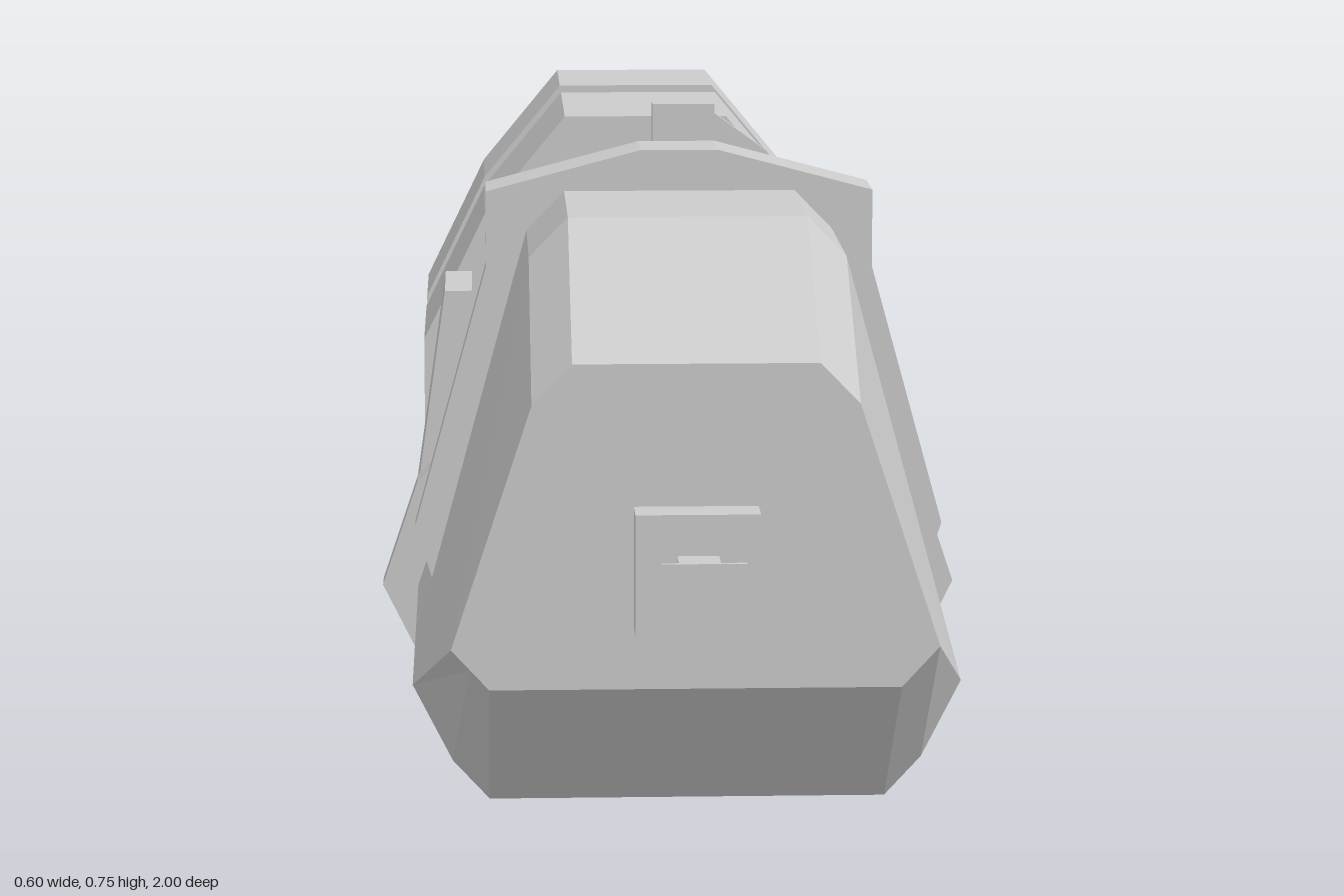
import * as THREE from 'three';

const material = new THREE.MeshStandardMaterial({ color: 0xcccccc, flatShading: true, side: THREE.DoubleSide });

// Mirrors a half outline (bottom to top on +x) into a full counter-clockwise loop
const mirrored = (half) => [...half, ...[...half].reverse().map(([x, y]) => [-x, y])];

export function createModel() {
  const model = new THREE.Group();

  const add = (name, geometry) => {
    const mesh = new THREE.Mesh(geometry, material);
    mesh.name = name;
    model.add(mesh);
    return mesh;
  };

  // Box given by its extents
  const box = (name, x0, x1, y0, y1, z0, z1) =>
    add(name, new THREE.BoxGeometry(x1 - x0, y1 - y0, z1 - z0))
      .position.set((x0 + x1) / 2, (y0 + y1) / 2, (z0 + z1) / 2);

  // Outline in x,y extruded from z0 to z1
  const prism = (name, points, z0, z1) => {
    const shape = new THREE.Shape(points.map(([x, y]) => new THREE.Vector2(x, y)));
    const geometry = new THREE.ExtrudeGeometry(shape, { depth: z1 - z0, bevelEnabled: false });
    geometry.translate(0, 0, z0);
    return add(name, geometry);
  };

  // Skin over convex loops ordered from back to front, with both ends closed
  const loft = (name, sections) => {
    const positions = [];
    const tri = (...corners) => corners.forEach((c) => positions.push(...c));
    const loops = sections.map(({ z, half }) => mirrored(half).map(([x, y]) => [x, y, z]));
    const n = loops[0].length;
    for (let s = 0; s < loops.length - 1; s++) {
      const a = loops[s], b = loops[s + 1];
      for (let i = 0; i < n; i++) {
        const j = (i + 1) % n;
        tri(a[i], a[j], b[j]);
        tri(a[i], b[j], b[i]);
      }
    }
    const back = loops[0], front = loops[loops.length - 1];
    for (let i = 1; i < n - 1; i++) {
      tri(front[0], front[i], front[i + 1]);
      tri(back[0], back[i + 1], back[i]);
    }
    const geometry = new THREE.BufferGeometry();
    geometry.setAttribute('position', new THREE.Float32BufferAttribute(positions, 3));
    geometry.computeVertexNormals();
    add(name, geometry);
  };

  // Thin square bar along a path
  const bar = (name, points, size = 0.012) => {
    for (let i = 0; i < points.length - 1; i++) {
      const a = new THREE.Vector3(...points[i]), b = new THREE.Vector3(...points[i + 1]);
      const mesh = add(name, new THREE.BoxGeometry(size, size, a.distanceTo(b) + size / 2));
      mesh.position.copy(a).lerp(b, 0.5);
      mesh.lookAt(b);
    }
  };

  // Cabin with sloped nose
  const cabin = [[0.19, 0.152], [0.225, 0.19], [0.263, 0.265], [0.15, 0.677], [0.113, 0.715]];
  const nose = [[0.19, 0.302], [0.2075, 0.321], [0.225, 0.34], [0.15, 0.567], [0.113, 0.605]];
  loft('cabin', [{ z: 0.43, half: cabin }, { z: 0.66, half: cabin }, { z: 0.84, half: nose }]);

  // Nose coupling
  box('couplingBase', -0.057, 0.057, 0.36, 0.473, 0.84, 0.88);
  box('couplingStalk', -0.019, 0.019, 0.396, 0.435, 0.88, 0.995);
  box('couplingPlate', -0.038, 0.038, 0.378, 0.453, 0.995, 1);

  // Roof arch and the tapering ribs below it
  prism('roofArch', mirrored([[0.155, 0.64], [0.19, 0.64], [0.19, 0.715], [0.038, 0.755]])
    .concat([[-0.155, 0.64], [-0.15, 0.677], [-0.113, 0.715], [0.113, 0.715], [0.15, 0.677]]), 0.395, 0.47);
  for (const s of [1, -1]) {
    prism('cabinRib', [[0.15, 0.66], [0.19, 0.64], [0.262, 0.38], [0.245, 0.325]]
      .map(([x, y]) => [s * x, y]), 0.43, 0.465);
  }

  // Long hull and its collar
  prism('hull', mirrored([[0.19, 0.152], [0.225, 0.19], [0.263, 0.265], [0.225, 0.375], [0.15, 0.45]]), -0.36, 0.44);
  prism('collar', mirrored([[0.19, 0.115], [0.263, 0.19], [0.3, 0.265], [0.263, 0.375], [0.15, 0.487]]), 0.17, 0.208);

  // Rear drums joined by a neck
  box('neck', -0.15, 0.15, 0.195, 0.415, -0.83, -0.35);
  const drum = [[0.095, 0], [0.19, 0.115], [0.263, 0.265], [0.263, 0.415], [0.19, 0.565], [0.095, 0.68]];
  prism('frontDrum', mirrored(drum), -0.735, -0.475);
  prism('rearDrum', mirrored(drum), -1, -0.815);

  // Side shields leaning with the hull
  for (const [s, back] of [[1, -0.285], [-1, -0.25]]) {
    prism('sideShield', [[0.205, 0.53], [0.235, 0.53], [0.273, 0.265], [0.243, 0.265]]
      .map(([x, y]) => [s * x, y]), back, -0.1);
  }

  // Deck housings
  box('mainHousing', 0, 0.07, 0.455, 0.605, -0.4, -0.1);
  box('sideHousing', -0.075, 0, 0.44, 0.605, -0.36, -0.18);
  box('lowHousing', -0.15, -0.075, 0.44, 0.53, -0.36, -0.18);
  box('rearHousing', 0.07, 0.15, 0.42, 0.485, -0.36, -0.25);
  box('sideLocker', 0.2, 0.235, 0.3, 0.485, -0.36, -0.285);

  // Mast, lever and small arms
  box('mast', 0, 0.07, 0.605, 0.72, -0.28, -0.245);
  bar('lever', [[0.028, 0.605, -0.21], [0.028, 0.665, -0.245]], 0.015);
  bar('mastArm', [[0.07, 0.7, -0.28], [0.125, 0.66, -0.28], [0.125, 0.485, -0.28]]);
  bar('frontArm', [[0.07, 0.585, -0.13], [0.125, 0.55, -0.13], [0.125, 0.45, -0.13]]);
  box('leftPost', -0.13, -0.1, 0.53, 0.605, -0.31, -0.275);
  bar('leftArm', [[-0.13, 0.59, -0.29], [-0.165, 0.56, -0.29], [-0.165, 0.43, -0.29]]);

  return model;
}
